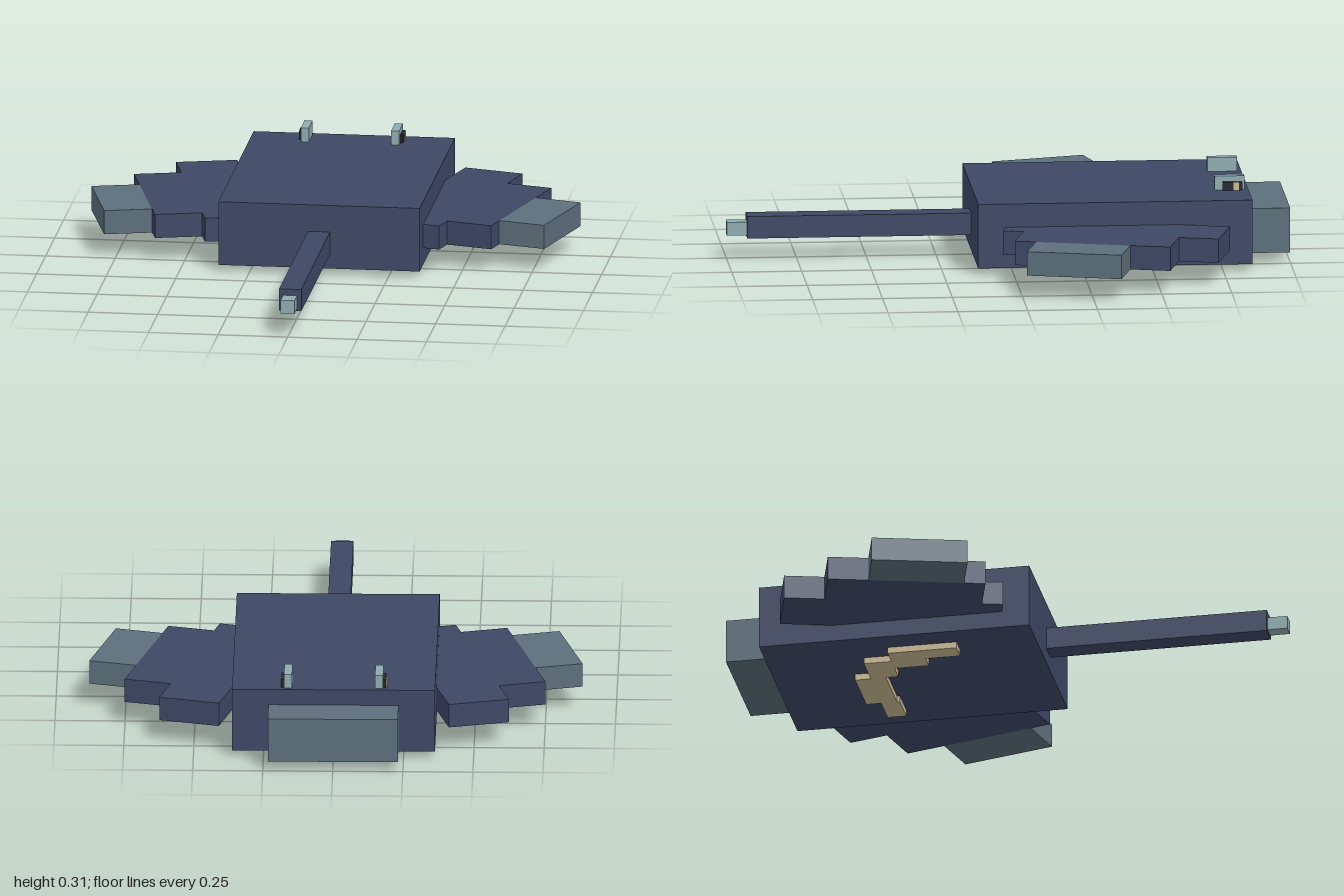
import * as THREE from 'three';

const material = (name, color) => {
  const m = new THREE.MeshStandardMaterial({ color });
  m.name = name;
  return m;
};

export function createModel() {
  const navy = material('navy skin', 0x3d4865);
  const slate = material('slate skin', 0x5c6f7b);
  const pale = material('pale blue', 0x90abb1);
  const dark = material('pupil dark', 0x25262e);
  const tan = material('mouth tan', 0xcab994);

  const model = new THREE.Group();
  model.name = 'stingray';

  // Box given by its limits on each axis
  const box = (parent, name, mat, [x0, x1], [y0, y1], [z0, z1]) => {
    const mesh = new THREE.Mesh(new THREE.BoxGeometry(x1 - x0, y1 - y0, z1 - z0), mat);
    mesh.position.set((x0 + x1) / 2, (y0 + y1) / 2, (z0 + z1) / 2);
    mesh.name = name;
    parent.add(mesh);
  };

  // Body, snout and tail
  box(model, 'body', navy, [-0.362, 0.362], [0.023, 0.256], [-0.855, 0.127]);
  box(model, 'snout', slate, [-0.232, 0.232], [0.036, 0.198], [-1, -0.855]);
  box(model, 'tail', navy, [-0.04, 0.04], [0.078, 0.158], [0.127, 0.928]);
  box(model, 'tailTip', pale, [-0.025, 0.025], [0.087, 0.135], [0.928, 1]);

  for (const side of [1, -1]) {
    const label = side > 0 ? 'left' : 'right';
    const span = (a, b) => (side > 0 ? [a, b] : [-b, -a]);

    // Stepped fin, swept by fifteen degrees
    const fin = new THREE.Group();
    fin.name = label + 'Fin';
    fin.rotation.y = -side * Math.PI / 12;
    const y = [0.084, 0.171];
    box(fin, 'finRoot', navy, span(0.197, 0.418), y, [-0.85, -0.067]);
    box(fin, 'finMiddle', navy, span(0.418, 0.588), y, [-0.706, -0.142]);
    box(fin, 'finTip', slate, span(0.588, 0.761), y, [-0.561, -0.218]);
    model.add(fin);

    // Eye with a lid, pupil and glint
    const eye = new THREE.Group();
    eye.name = label + 'Eye';
    box(eye, 'eyelid', pale, span(0.148, 0.177), [0.256, 0.307], [-0.84, -0.733]);
    box(eye, 'pupil', dark, span(0.177, 0.187), [0.256, 0.286], [-0.832, -0.762]);
    box(eye, 'glint', tan, span(0.187, 0.19), [0.256, 0.286], [-0.82, -0.8]);
    model.add(eye);
  }

  // Crooked mouth under the body, as a run of steps
  const mouth = new THREE.Group();
  mouth.name = 'mouth';
  const steps = [
    [-0.27, -0.2, -0.405, -0.155],
    [-0.2, -0.14, -0.505, -0.28],
    [-0.14, -0.07, -0.505, -0.405],
    [-0.07, 0.14, -0.562, -0.45],
    [0.14, 0.262, -0.508, -0.44],
  ];
  for (const [x0, x1, z0, z1] of steps) {
    box(mouth, 'mouthStep', tan, [x0, x1], [0, 0.023], [z0, z1]);
  }
  model.add(mouth);

  return model;
}
